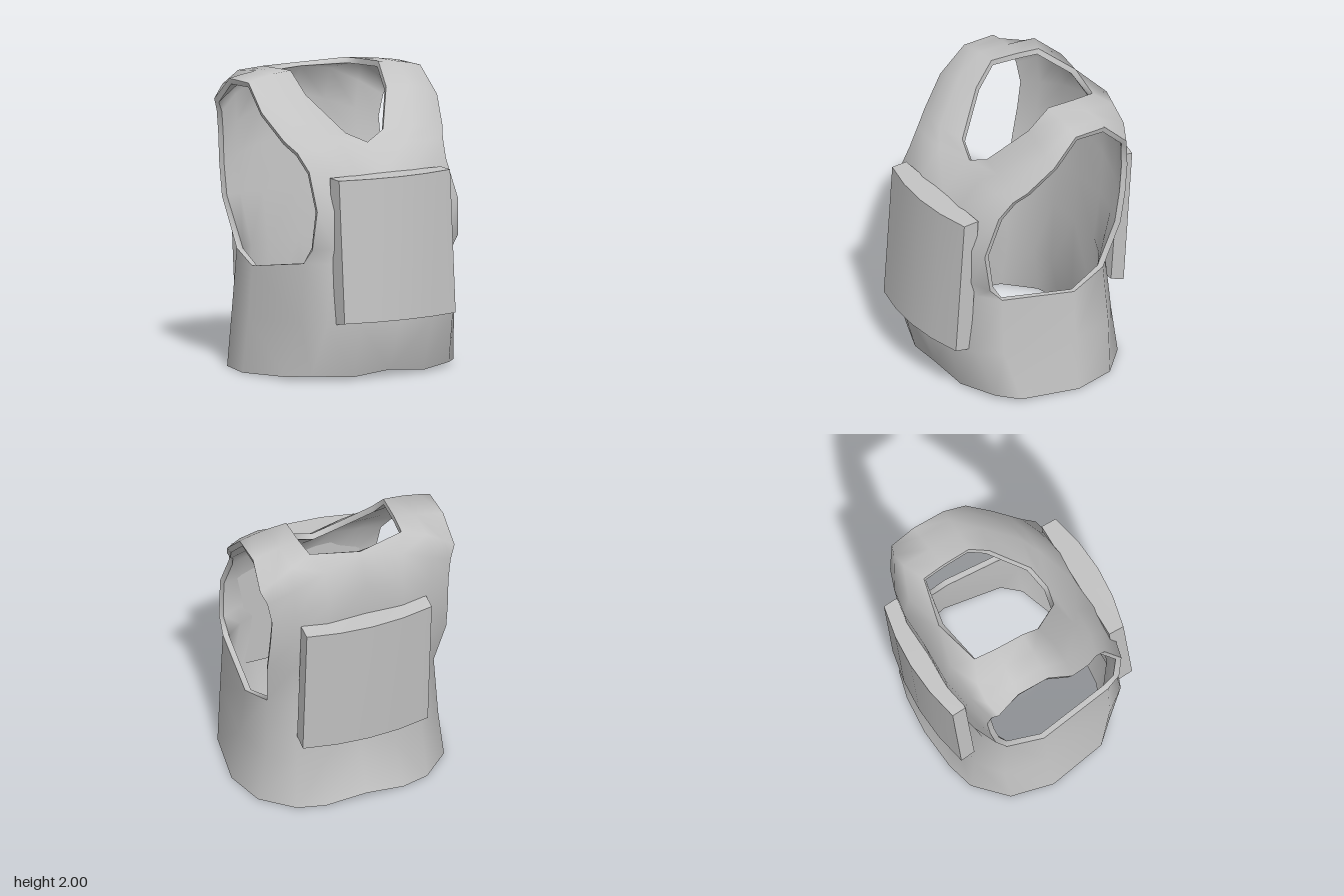
import * as THREE from 'three';
import { mergeVertices, mergeGeometries } from 'three/addons/utils/BufferGeometryUtils.js';

const THICK = 0.04;

// Centre or neck edge, from the front waist over the shoulder to the back waist
const innerEdge = [
  [0, 0.78, 0.64], [0, 0.92, 0.63], [0, 1.15, 0.6], [0, 1.36, 0.51], [0, 1.54, 0.3],
  [0.15, 1.61, 0.26], [0.32, 1.85, 0.04], [0.35, 2, -0.1], [0.345, 1.99, -0.3], [0.33, 1.98, -0.46],
  [0, 1.965, -0.54], [0, 1.76, -0.655], [0, 1.5, -0.62], [0, 1.12, -0.6], [0, 0.78, -0.57],
];
// Armhole edge, following the same steps
const armEdge = [
  [0.59, 0.79, 0.42], [0.58, 0.89, 0.51], [0.56, 1.15, 0.54], [0.545, 1.4, 0.42], [0.58, 1.52, 0.33],
  [0.63, 1.59, 0.25], [0.7, 1.77, 0.08], [0.685, 1.945, -0.1], [0.685, 1.945, -0.33], [0.7, 1.79, -0.49],
  [0.66, 1.7, -0.52], [0.635, 1.55, -0.54], [0.64, 1.35, -0.52], [0.645, 1.13, -0.48], [0.6, 0.79, -0.37],
];
// How far the cloth swells outwards between the two edges at each step
const swell = [0.085, 0.045, 0.025, 0.05, 0.07, 0.055, 0.045, 0.012, 0.01, 0.08, 0.1, 0.045, 0.045, 0.055, 0.08];

// Four points from the inner edge to the arm edge, swollen away from the chest
const upperRows = innerEdge.map((a, i) => [0, 0.42, 0.76, 1].map((t) => {
  const [x, y, z] = a.map((v, k) => v + (armEdge[i][k] - v) * t);
  const dy = Math.max(0, y - 1.5), dz = z + 0.1;
  const push = swell[i] * 4 * t * (1 - t) / Math.hypot(dy, dz);
  return [x, y + dy * push, z + dz * push];
}));

// Waist band: hem, waist and armhole floor, from the front centre round the side to the back centre
const hem = [
  [0, 0.045, 0.57], [0.28, 0.015, 0.55], [0.55, 0.03, 0.45], [0.67, 0.02, 0.32], [0.74, 0, -0.09],
  [0.67, 0, -0.38], [0.47, 0, -0.57], [0.28, 0, -0.62], [0, 0.045, -0.65],
];
const waist = [
  [0, 0.38, 0.685], [0.28, 0.38, 0.655], [0.5, 0.38, 0.57], [0.61, 0.38, 0.42], [0.685, 0.37, -0.1],
  [0.62, 0.36, -0.4], [0.45, 0.34, -0.53], [0.25, 0.33, -0.55], [0, 0.33, -0.55],
];
const armholeFloor = [...upperRows[0], [0.65, 0.71, -0.11], ...upperRows.at(-1).toReversed()];

function geometryFrom(positions, index) {
  const g = new THREE.BufferGeometry();
  g.setAttribute('position', new THREE.Float32BufferAttribute(positions, 3));
  if (index) g.setIndex(index);
  return g;
}

// Skins a grid of rows, together with its mirror image across x = 0
function mirroredSkin(rows) {
  const pos = [], idx = [];
  for (const side of [1, -1]) {
    const base = pos.length / 3, n = rows[0].length;
    rows.flat().forEach(([x, y, z]) => pos.push(side * x, y, z));
    for (let r = 0; r < rows.length - 1; r++) {
      for (let c = 0; c < n - 1; c++) {
        const a = base + r * n + c, b = a + 1, d = a + n, e = d + 1;
        if (side > 0) idx.push(a, b, e, a, e, d);
        else idx.push(a, e, b, a, d, e);
      }
    }
  }
  return geometryFrom(pos, idx);
}

// Outer skin, inner lining and the rim closing every open edge
function vestParts() {
  const skins = [upperRows, [hem, waist, armholeFloor]].map(mirroredSkin);
  const outer = mergeVertices(mergeGeometries(skins), 1e-4);
  outer.computeVertexNormals();
  const p = outer.attributes.position, n = outer.attributes.normal;
  const idx = Array.from(outer.index.array);
  const at = (i) => [p.getX(i), p.getY(i), p.getZ(i)];
  const inset = (i) => [
    p.getX(i) - n.getX(i) * THICK,
    Math.max(0, p.getY(i) - n.getY(i) * THICK),
    p.getZ(i) - n.getZ(i) * THICK,
  ];

  const liningPos = [], liningIdx = [];
  for (let i = 0; i < p.count; i++) liningPos.push(...inset(i));
  const edges = new Set();
  for (let i = 0; i < idx.length; i += 3) {
    const [a, b, c] = idx.slice(i, i + 3);
    liningIdx.push(a, c, b);
    [[a, b], [b, c], [c, a]].forEach(([u, v]) => edges.add(u + '_' + v));
  }
  const lining = geometryFrom(liningPos, liningIdx);
  lining.computeVertexNormals();

  const rimPos = [];
  for (const key of edges) {
    const [a, b] = key.split('_').map(Number);
    if (edges.has(b + '_' + a)) continue;
    rimPos.push(...at(b), ...at(a), ...inset(a), ...at(b), ...inset(a), ...inset(b));
  }
  const rim = mergeVertices(geometryFrom(rimPos), 1e-4);
  rim.computeVertexNormals();
  return { vestShell: outer, vestLining: lining, vestRim: rim };
}

// Slab bowed outwards; inner and outer give [y, z] at the bottom and top
function pouch(width, inner, outer, bow) {
  const g = new THREE.BoxGeometry(width, 1, 1, 4, 1, 1);
  const p = g.attributes.position, s = Math.sign(outer[0][1]);
  for (let i = 0; i < p.count; i++) {
    const x = p.getX(i), end = p.getY(i) > 0 ? 1 : 0;
    const out = p.getZ(i) * s > 0;
    const [y, z] = (out ? outer : inner)[end];
    const drop = out ? bow * (2 * x / width) ** 2 : 0;
    p.setXYZ(i, x, y, z - s * drop);
  }
  g.computeVertexNormals();
  return g;
}

export function createModel() {
  const model = new THREE.Group();
  model.name = 'vest';
  const grey = new THREE.MeshStandardMaterial({ color: 0xc4c4c4 });
  grey.name = 'light grey';

  const parts = {
    ...vestParts(),
    frontPouch: pouch(0.885, [[0.385, 0.575], [1.365, 0.515]], [[0.405, 0.757], [1.36, 0.69]], 0.065),
    backPouch: pouch(0.9, [[0.56, -0.53], [1.51, -0.6]], [[0.525, -0.69], [1.49, -0.758]], 0.06),
  };
  for (const [name, geometry] of Object.entries(parts)) {
    const mesh = new THREE.Mesh(geometry, grey);
    mesh.name = name;
    model.add(mesh);
  }
  return model;
}
